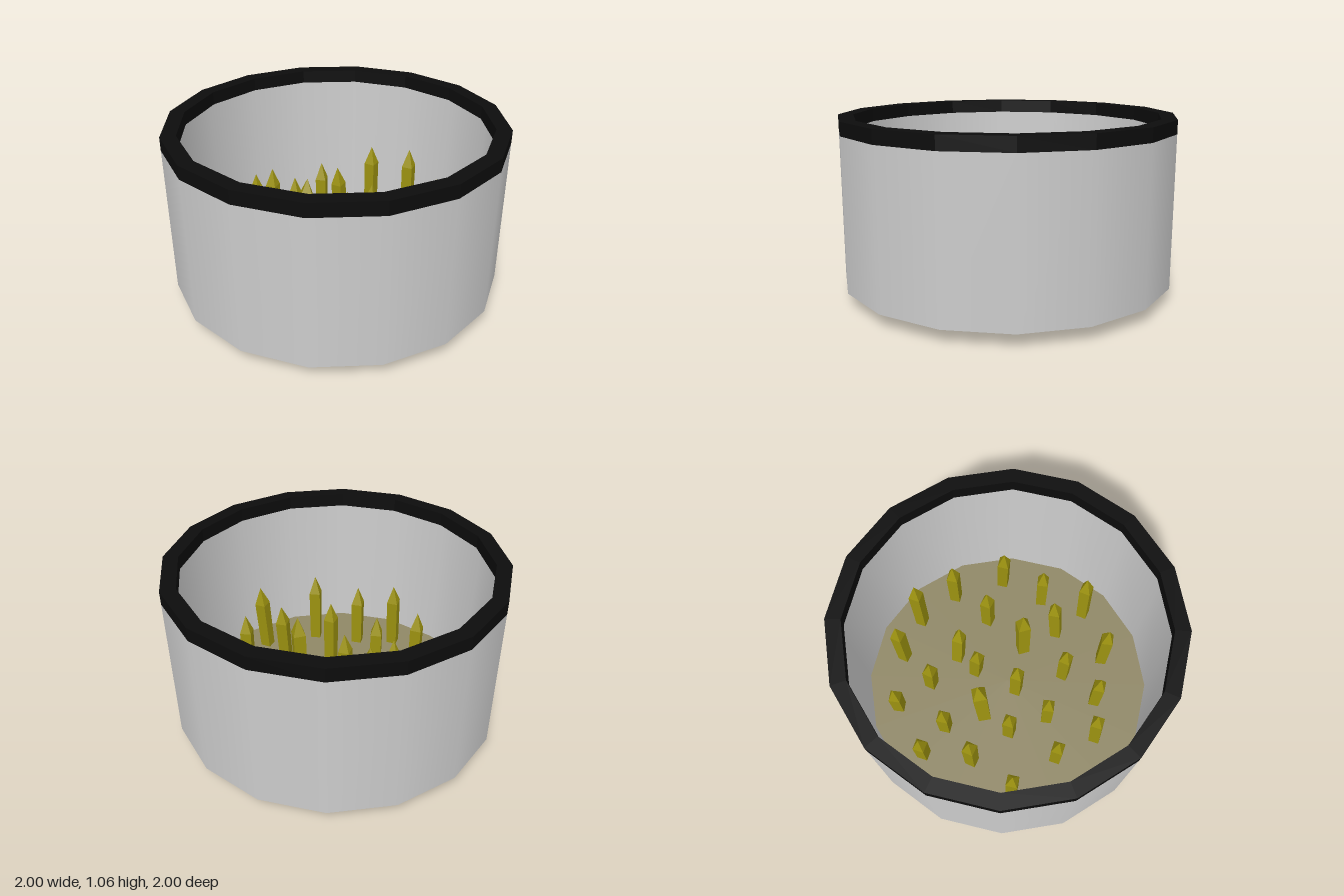
import * as THREE from 'three';

const SIDES = 16;
const mat = (color, extra = {}) => new THREE.MeshStandardMaterial({ color, ...extra });
const gray = mat(0xcccccc, { side: THREE.DoubleSide });
const grayInside = mat(0xcccccc, { side: THREE.BackSide });
const black = mat(0x0c0c0c, { flatShading: true });
const soil = mat(0x8f8766, { side: THREE.DoubleSide });
const spikeMat = mat(0x9c9210, { side: THREE.DoubleSide, flatShading: true });

// Upright spikes: x, z, height of the point
const UPRIGHT = [
  [-0.13, -0.70, 0.59], [0.15, -0.71, 0.63], [0.41, -0.58, 0.53], [-0.46, -0.57, 0.44],
  [0.34, -0.30, 0.52], [-0.68, -0.28, 0.46], [-0.46, -0.23, 0.47], [0.63, -0.03, 0.52],
  [-0.59, 0.02, 0.57], [-0.32, 0.16, 0.5], [-0.65, 0.33, 0.5], [-0.13, 0.34, 0.5],
  [0.19, 0.32, 0.53], [-0.35, 0.50, 0.5], [0.11, 0.58, 0.53], [0.40, 0.51, 0.58],
];

// Leaning spikes: x, z, height of the point, then shift of the foot in x and z
const LEANING = [
  [-0.24, -0.42, 0.52, 0.01, -0.03], [0.06, -0.36, 0.5, -0.05, -0.01],
  [0.63, -0.31, 0.54, 0.02, -0.02], [-0.03, -0.19, 0.5, 0, -0.03],
  [-0.02, 0.08, 0.5, -0.02, 0], [0.45, 0.12, 0.55, 0, 0.04],
  [0.68, 0.25, 0.56, -0.02, 0.02], [-0.12, 0.65, 0.56, 0, 0.03],
];

// Four-sided shaft with a pyramid point and an open bottom
function makeSpike([x, z, top, dx = 0, dz = 0], bottom, yaw, r = 0.05) {
  const foot = new THREE.Vector3(x + dx, bottom, z + dz);
  const axis = new THREE.Vector3(x, top, z).sub(foot);
  const h = axis.length();
  const profile = [[r * 0.94, 0], [r, h - 0.12], [0, h]].map(p => new THREE.Vector2(...p));
  const geo = new THREE.LatheGeometry(profile, 4).rotateY(Math.PI / 4 + yaw);
  const spike = new THREE.Mesh(geo, spikeMat);
  spike.name = 'spike';
  spike.quaternion.setFromUnitVectors(new THREE.Vector3(0, 1, 0), axis.normalize());
  spike.position.copy(foot);
  return spike;
}

export function createModel() {
  const model = new THREE.Group();
  model.name = 'spikePit';
  const add = (name, geo, material, y) => {
    const mesh = new THREE.Mesh(geo, material);
    mesh.name = name;
    mesh.position.y = y;
    model.add(mesh);
  };

  // Outer wall
  add('outerWall', new THREE.CylinderGeometry(1, 1, 0.9, SIDES, 1, true), gray, 0.53);

  // Inner lining, dark on its hidden outer side
  const lining = new THREE.CylinderGeometry(0.95, 0.915, 0.88, SIDES, 1, true);
  add('innerWall', lining, grayInside, 0.54);
  add('liningBack', lining, black, 0.54);

  // Dark rim around the opening
  const section = [[0.91, 0.98], [1, 0.98], [1, 1.06], [0.91, 1.06], [0.91, 0.98]];
  add('rim', new THREE.LatheGeometry(section.map(p => new THREE.Vector2(...p)), SIDES), black, 0);

  // Pit floor
  add('floor', new THREE.CircleGeometry(0.915, SIDES).rotateX(-Math.PI / 2), soil, 0.1);

  // Spikes standing through the floor, with small repeating variations in depth and turn
  const spikes = new THREE.Group();
  spikes.name = 'spikes';
  UPRIGHT.forEach((s, i) => spikes.add(makeSpike(s, 0.06 + 0.01 * (i % 3), 0.1 * (i % 4))));
  LEANING.forEach((s, i) => spikes.add(makeSpike(s, 0.08, 0.1 * (i % 3))));

  // Two thicker spikes near the middle
  spikes.add(makeSpike([-0.26, -0.08, 0.58, -0.02, 0.04], 0.08, 0.6, 0.06));
  spikes.add(makeSpike([0.26, -0.01, 0.6, -0.01, 0.01], 0, 0.7, 0.055));
  model.add(spikes);
  return model;
}
